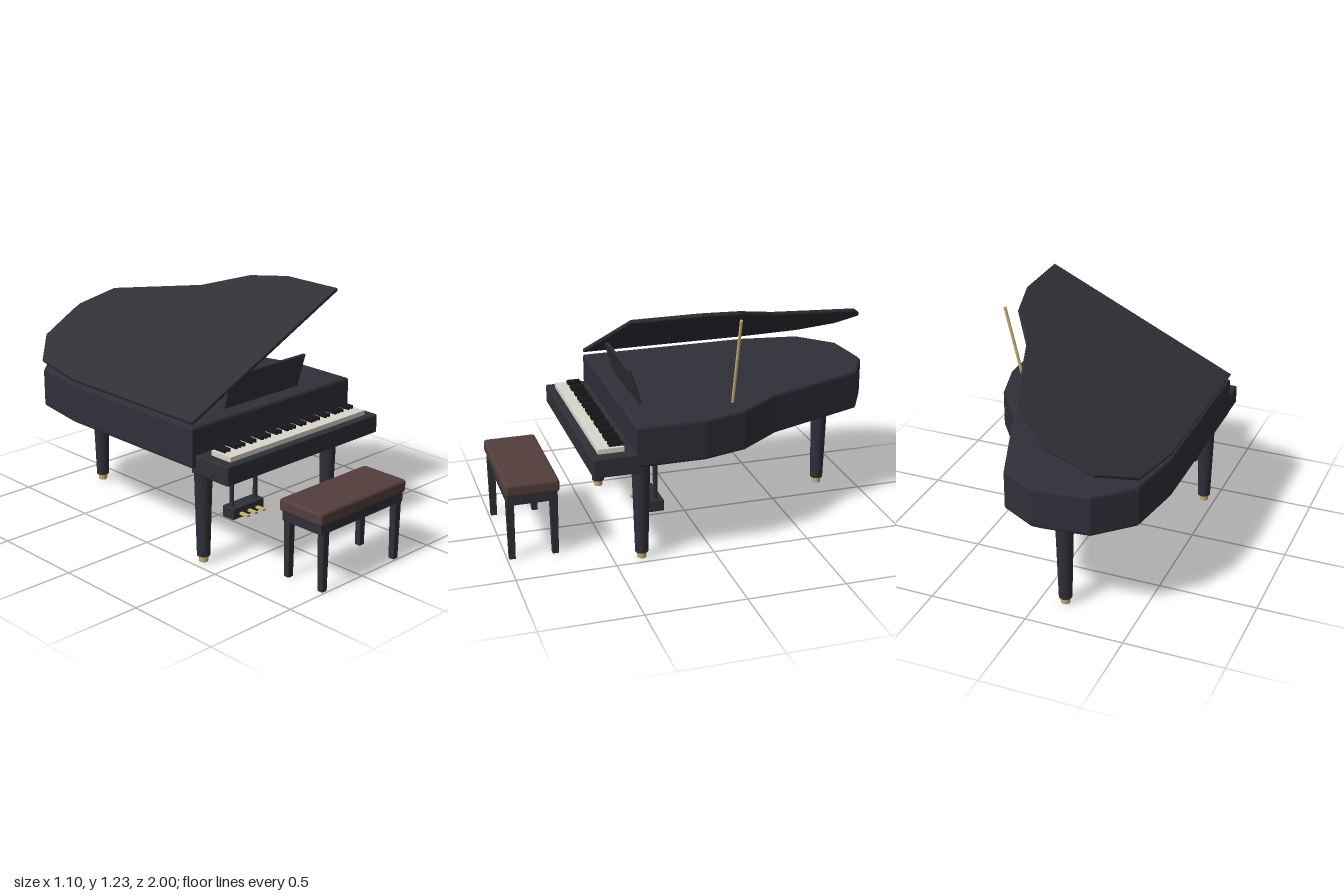
import * as THREE from 'three';
import { RoundedBoxGeometry } from 'three/addons/geometries/RoundedBoxGeometry.js';

const mat = (name, color) => {
  const m = new THREE.MeshStandardMaterial({ color });
  m.name = name;
  return m;
};

export function createModel() {
  const caseBlack = mat('case black', 0x2f2f39);
  const satinBlack = mat('satin black', 0x2f3137);
  const keyBlack = mat('key black', 0x1a1a1d);
  const ivory = mat('ivory', 0xd8d6cc);
  const brass = mat('brass', 0xccb475);
  const leather = mat('leather', 0x543e3e);

  const model = new THREE.Group();
  model.name = 'grandPianoWithBench';

  const add = (name, geometry, material, x, y, z, parent = model) => {
    const mesh = new THREE.Mesh(geometry, material);
    mesh.name = name;
    mesh.position.set(x, y, z);
    parent.add(mesh);
    return mesh;
  };
  const box = (name, material, w, h, d, x, y, z, radius = 0, parent = model) =>
    add(name, radius ? new RoundedBoxGeometry(w, h, d, 2, radius) : new THREE.BoxGeometry(w, h, d),
      material, x, y, z, parent);

  // Plan outline shared by case and lid, as (x, z)
  const outline = [
    [-0.55, 0.4], [0.55, 0.4], [0.55, 0.06], [0.49, -0.16], [0.33, -0.38],
    [0.135, -0.9], [-0.045, -1], [-0.1, -1], [-0.33, -0.975], [-0.5, -0.81], [-0.55, -0.5],
  ];
  const slab = (height, bevel, shiftX = 0) => {
    const shape = new THREE.Shape(outline.map(([x, z]) => new THREE.Vector2(x + shiftX, -z)));
    const g = new THREE.ExtrudeGeometry(shape, {
      depth: height - 2 * bevel, bevelThickness: bevel, bevelSize: bevel,
      bevelOffset: -bevel, bevelSegments: 2,
    });
    return g.rotateX(-Math.PI / 2).translate(0, bevel, 0);
  };

  add('case', slab(0.21, 0.014), caseBlack, 0, 0.527, 0);

  // Lid, raised about its left edge
  const lid = add('lid', slab(0.02, 0.005, 0.55), satinBlack, -0.545, 0.748, 0);
  lid.rotation.z = 0.44;

  // Prop stick
  const foot = new THREE.Vector3(0.368, 0.73, -0.134);
  const tip = new THREE.Vector3(0.479, 1.192, -0.134);
  const stick = tip.clone().sub(foot);
  const prop = add('lidProp', new THREE.CylinderGeometry(0.008, 0.008, stick.length(), 8), brass, 0, 0, 0);
  prop.position.copy(foot).lerp(tip, 0.5);
  prop.quaternion.setFromUnitVectors(new THREE.Vector3(0, 1, 0), stick.normalize());

  // Music desk
  const desk = box('musicDesk', satinBlack, 0.518, 0.195, 0.014, 0.004, 0.823, 0.329, 0.004);
  desk.rotation.x = 0.28;

  // Keybed and keys
  box('keybed', satinBlack, 1.064, 0.098, 0.25, 0.005, 0.544, 0.49, 0.008);
  const keysLeft = -0.472, keysWidth = 0.951, whiteCount = 38;
  box('whiteKeys', ivory, keysWidth, 0.035, 0.13, keysLeft + keysWidth / 2, 0.6, 0.512);
  const blackKeys = new THREE.Group();
  blackKeys.name = 'blackKeys';
  model.add(blackKeys);
  for (let i = 1; i < whiteCount; i++) {
    if (i % 7 === 3 || i % 7 === 0) continue;
    box('blackKey', keyBlack, 0.013, 0.02, 0.07,
      keysLeft + (i * keysWidth) / whiteCount, 0.624, 0.482, 0, blackKeys);
  }

  // Three turned legs with brass feet
  for (const [x, z] of [[-0.443, 0.36], [0.45, 0.36], [-0.127, -0.805]]) {
    const leg = new THREE.Group();
    leg.name = 'leg';
    leg.position.set(x, 0, z);
    model.add(leg);
    add('legPost', new THREE.CylinderGeometry(0.047, 0.033, 0.5, 16), caseBlack, 0, 0.288, 0, leg);
    add('legFoot', new THREE.CylinderGeometry(0.026, 0.023, 0.036, 16), brass, 0, 0.024, 0, leg);
  }

  // Pedal lyre
  const lyre = new THREE.Group();
  lyre.name = 'pedalLyre';
  lyre.position.set(0.004, 0, 0.185);
  model.add(lyre);
  for (const side of [-1, 1])
    add('lyrePost', new THREE.CylinderGeometry(0.0125, 0.0125, 0.41, 10), caseBlack, side * 0.085, 0.33, 0, lyre);
  box('lyreBox', satinBlack, 0.224, 0.062, 0.08, 0, 0.103, 0, 0.005, lyre);
  for (const i of [-1, 0, 1])
    box('pedal', brass, 0.02, 0.011, 0.08, i * 0.058, 0.098, 0.055, 0, lyre);

  // Bench
  const bench = new THREE.Group();
  bench.name = 'bench';
  bench.position.set(0.004, 0, 0.865);
  model.add(bench);
  box('benchSeat', leather, 0.616, 0.067, 0.27, 0, 0.379, 0, 0.016, bench);
  box('benchFrame', satinBlack, 0.588, 0.05, 0.25, 0, 0.323, 0, 0.003, bench);
  const legGeometry = new THREE.CylinderGeometry(0.027, 0.022, 0.32, 4).rotateY(Math.PI / 4).toNonIndexed();
  legGeometry.computeVertexNormals();
  for (const sx of [-1, 1])
    for (const sz of [-1, 1])
      add('benchLeg', legGeometry, satinBlack, sx * 0.26, 0.16, sz * 0.109, bench);

  return model;
}
